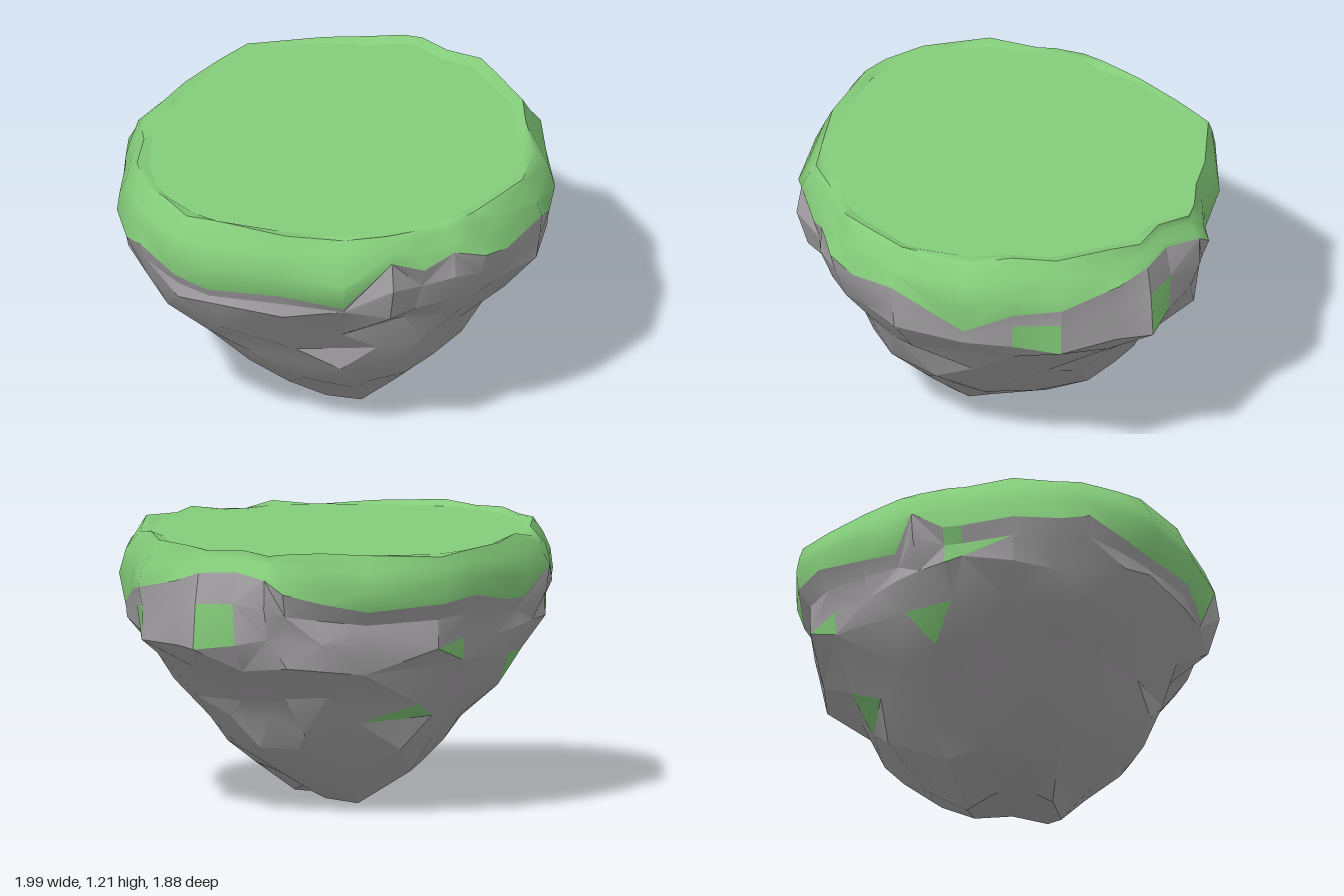
import * as THREE from 'three';
import { toCreasedNormals } from 'three/addons/utils/BufferGeometryUtils.js';

// Widest outline of the island, as [x, z]
const OUTLINE = [
  [-0.08, -0.96], [0.27, -0.9], [0.46, -0.81], [0.63, -0.78], [0.71, -0.74], [0.79, -0.585],
  [0.92, -0.47], [0.95, -0.32], [1, -0.05], [0.94, 0.16], [0.91, 0.38], [0.75, 0.67],
  [0.54, 0.8], [0.41, 0.87], [0.27, 0.905], [0.12, 0.89], [-0.04, 0.95], [-0.25, 0.885],
  [-0.505, 0.76], [-0.8, 0.56], [-0.9, 0.43], [-0.975, 0.24], [-1, 0.11], [-0.97, -0.1],
  [-0.87, -0.32], [-0.84, -0.4], [-0.77, -0.53], [-0.64, -0.6], [-0.49, -0.745], [-0.26, -0.88],
];
// Height where grass meets rock, one per outline point
const BORDER = [
  0.98, 0.95, 0.99, 1.04, 1.1, 1.12, 1.11, 1.06, 1.0, 0.96, 0.87, 1.05, 1.0, 1.03, 1.08,
  1.02, 1.1, 0.86, 0.92, 0.9, 0.93, 1.0, 0.97, 0.98, 0.97, 0.97, 1.06, 0.93, 0.95, 1.0,
];
// Side profile: y, then the outline scale towards +x, -x, +z, -z
const PROFILE = [
  [1.2, 0.89, 0.89, 0.9, 0.94], [1.1, 0.97, 0.97, 0.96, 0.98], [1.03, 1, 1, 1, 1],
  [0.96, 0.99, 0.99, 0.98, 0.96], [0.88, 0.97, 0.95, 0.95, 0.9], [0.8, 0.96, 0.92, 0.9, 0.9],
  [0.7, 0.92, 0.87, 0.84, 0.86], [0.6, 0.8, 0.78, 0.73, 0.81], [0.5, 0.69, 0.7, 0.69, 0.71],
  [0.4, 0.63, 0.58, 0.66, 0.63], [0.3, 0.55, 0.48, 0.58, 0.55], [0.2, 0.42, 0.42, 0.47, 0.46],
  [0.1, 0.28, 0.25, 0.34, 0.36], [0, 0.1, 0.1, 0.22, 0.14],
];
// Ledges (+) and hollows (-) in the rock: direction x, z, height, amount
const BUMPS = [
  [0.86, -0.5, 0.78, 0.03], [0.86, -0.5, 0.55, -0.07], [-0.7, 0.7, 0.22, 0.12],
  [-0.65, 0.76, 0.67, 0.05], [0.1, 1, 0.62, -0.05], [0.1, 1, 0.42, 0.04],
];
const N = OUTLINE.length;

// Repeatable noise in -1..1
function noise(a, b) {
  const s = Math.sin(a * 127.1 + b * 311.7) * 43758.5453;
  return (s - Math.floor(s)) * 2 - 1;
}

function scaleAt(x, z, y) {
  let k = 0;
  while (k < PROFILE.length - 2 && PROFILE[k + 1][0] > y) k++;
  const a = PROFILE[k], b = PROFILE[k + 1];
  const t = THREE.MathUtils.clamp((a[0] - y) / (a[0] - b[0]), 0, 1);
  const at = (c) => a[c] + (b[c] - a[c]) * t;
  const w = (x * x) / (x * x + z * z);
  return at(x > 0 ? 1 : 2) * w + at(z > 0 ? 3 : 4) * (1 - w);
}

// Point on the island side above or below outline point i
function sidePoint(i, y, factor = 1) {
  const [x, z] = OUTLINE[i];
  const s = scaleAt(x, z, y) * factor;
  return new THREE.Vector3(x * s, y, z * s);
}

// Sum of ledges and hollows at outline point i
function relief(i, y) {
  const [x, z] = OUTLINE[i];
  const r = Math.hypot(x, z);
  return BUMPS.reduce((sum, [bx, bz, by, amount]) => {
    const d = Math.hypot(x / r - bx, z / r - bz) / 0.4, h = (y - by) / 0.1;
    return sum + amount * Math.exp(-d * d - h * h);
  }, 0);
}

const ring = (fn) => OUTLINE.map((_, i) => fn(i));

// Skins rings from top to bottom; faces listed as ring:sector:half go to material 1
function skin(rings, crease, patches = []) {
  const base = [], patch = [];
  const ab = new THREE.Vector3(), ac = new THREE.Vector3();
  for (let r = 0; r < rings.length - 1; r++) {
    for (let i = 0; i < N; i++) {
      const j = (i + 1) % N;
      const a = rings[r][i], b = rings[r][j], c = rings[r + 1][i], d = rings[r + 1][j];
      const tris = (i + r) % 2 ? [[b, d, c], [b, c, a]] : [[a, b, d], [a, d, c]];
      tris.forEach(([p, q, s], half) => {
        ab.subVectors(q, p);
        ac.subVectors(s, p);
        if (ab.cross(ac).length() < 1e-6) return;
        const out = patches.includes(`${r}:${i}:${half}`) ? patch : base;
        for (const v of [p, q, s]) out.push(v.x, v.y, v.z);
      });
    }
  }
  const geo = new THREE.BufferGeometry();
  geo.setAttribute('position', new THREE.Float32BufferAttribute(base.concat(patch), 3));
  geo.addGroup(0, base.length / 3, 0);
  if (patch.length) geo.addGroup(base.length / 3, patch.length / 3, 1);
  return toCreasedNormals(geo, crease);
}

export function createModel() {
  const grass = new THREE.MeshStandardMaterial({ color: 0x84cc7a });
  grass.name = 'grass green';
  const stone = new THREE.MeshStandardMaterial({ color: 0xa6a4a6 });
  stone.name = 'stone grey';

  // Flat meadow
  const centre = new THREE.Vector3(0, 1.19, 0);
  const meadowEdge = ring((i) => sidePoint(i, 1.2, 0.95).setY(1.19));

  // Turf: uneven rim, rounded shoulder and belt, down to the ragged border
  const border = ring((i) => sidePoint(i, BORDER[i]));
  const level = (i, t) => BORDER[i] + t * (1.2 - BORDER[i]);
  const turf = [
    meadowEdge,
    ring((i) => sidePoint(i, 1.2, 1 + 0.015 * noise(i, 1)).setY(1.2 + 0.018 * noise(i, 2))),
    ring((i) => sidePoint(i, level(i, 0.72), 1 + 0.012 * noise(i, 3))),
    ring((i) => sidePoint(i, level(i, 0.4), 1 + 0.012 * noise(i, 4))),
    border,
  ];

  // Rock: jittered rings whose corners merge in pairs for broad facets
  const rock = [border, ring((i) => sidePoint(i, 0.81 + 0.55 * (BORDER[i] - 0.81)))];
  [0.8, 0.67, 0.53, 0.4, 0.27, 0.14].forEach((y, k) => {
    rock.push(ring((i) => {
      const step = k < 1 ? 1 : k < 5 ? 2 : 3;
      const n = (i - ((i + k) % step) + N) % N;
      const h = y + 0.035 * noise(n, k + 10);
      return sidePoint(n, h, 1.01 + 0.03 * noise(n, k + 20) + relief(n, h));
    }));
  });
  // Two blunt lobes at the foot with a notch between them
  rock.push(ring((i) => {
    const n = i - (i % 3);
    const [x, z] = OUTLINE[n];
    const across = (x * x) / (x * x + z * z);
    const p = sidePoint(n, 0.03);
    return p.set(p.x + 0.02, 0.002 + 0.06 * across, p.z + 0.02);
  }));
  const notch = new THREE.Vector3(0.02, 0.08, 0.05);
  rock.push(ring(() => notch));

  // Tufts of grass on the rock: right, back right, back left, back ledge, low back
  const tufts = [
    '1:8:0', '1:8:1', '1:5:0', '1:5:1', '0:24:0', '0:24:1', '1:24:0', '1:24:1',
    '1:23:0', '2:29:1', '4:0:0', '4:0:1', '3:26:1',
  ];

  const group = new THREE.Group();
  group.name = 'floatingIsland';
  const add = (name, geometry, material) => {
    const mesh = new THREE.Mesh(geometry, material);
    mesh.name = name;
    group.add(mesh);
  };
  add('meadow', skin([ring(() => centre), meadowEdge], 0.5), grass);
  add('turfEdge', skin(turf, 0.9), grass);
  add('rockBase', skin(rock, 0.4, tufts), [stone, grass]);
  return group;
}
